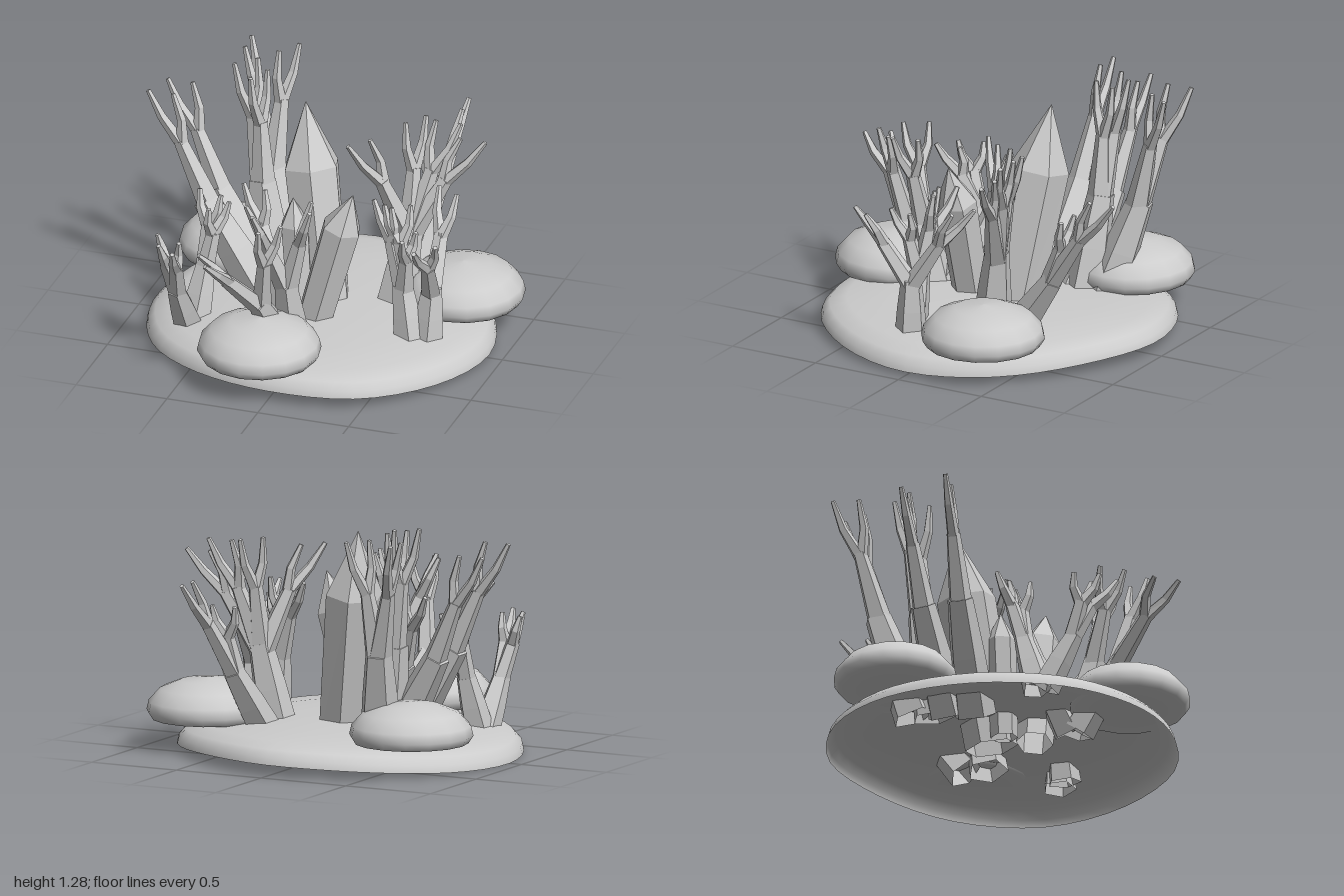
import * as THREE from 'three';

const stone = new THREE.MeshStandardMaterial({ color: 0xcccccc });
stone.name = 'pale grey smooth';
stone.side = THREE.DoubleSide;
const facet = stone.clone();
facet.name = 'pale grey faceted';
facet.flatShading = true;

const vec = (x, y, z) => new THREE.Vector3(x, y, z);

// Skin a stack of closed rings with equal point counts
function skin(rings) {
  const n = rings[0].length, idx = [];
  for (let j = 0; j < rings.length - 1; j++) {
    for (let i = 0; i < n; i++) {
      const a = j * n + i, b = j * n + ((i + 1) % n);
      idx.push(a, b, b + n, a, b + n, a + n);
    }
  }
  const g = new THREE.BufferGeometry().setFromPoints(rings.flat());
  g.setIndex(idx);
  g.computeVertexNormals();
  return g;
}

// Tapered faceted limb through points, closed at the end
function limb(points, radii, sides = 5) {
  const last = points.length - 1;
  const rings = points.map((p, i) => {
    const t = points[Math.min(i + 1, last)].clone().sub(points[Math.max(i - 1, 0)]).normalize();
    const u = vec(0, 0, 1).addScaledVector(t, -t.z).normalize();
    const v = t.clone().cross(u);
    return Array.from({ length: sides }, (_, s) => {
      const a = (s / sides) * Math.PI * 2 + 0.3;
      return p.clone().addScaledVector(u, Math.cos(a) * radii[i]).addScaledVector(v, Math.sin(a) * radii[i]);
    });
  });
  rings.push(rings[last].map(() => points[last]));
  return skin(rings);
}

function add(parent, name, geometry, material) {
  const m = new THREE.Mesh(geometry, material);
  m.name = name;
  parent.add(m);
  return m;
}

// Trunk that forks at a knee; each crown [x, y, z, spread angle] gets an arm and two fingers
function coral(parent, x, z, ...crowns) {
  const g = new THREE.Group();
  g.name = 'coral';
  parent.add(g);
  const base = vec(x, 0.09, z);
  const centre = vec(0, 0, 0);
  crowns.forEach(([cx, cy, cz]) => centre.add(vec(cx, cy, cz).divideScalar(crowns.length)));
  const knee = base.clone().lerp(centre, 0.57);
  knee.y -= 0.09 * (centre.y - base.y);
  const r = 0.035 + 0.068 * centre.y;
  const middle = base.clone().lerp(knee, 0.5);
  add(g, 'trunk', limb([base, middle, knee], [r, r * 0.85, r * 0.62]), facet);

  for (const [cx, cy, cz, angle] of crowns) {
    const crown = vec(cx, cy, cz);
    const elbow = knee.clone().lerp(crown, 0.56);
    add(g, 'arm', limb([knee.clone().lerp(base, 0.12), elbow], [r * 0.6, 0.038]), facet);
    for (const side of [-1, 1]) {
      const spread = vec(Math.cos(angle), side * 0.2, Math.sin(angle)).multiplyScalar(0.068 * side);
      const tip = crown.clone().add(spread);
      const bend = elbow.clone().lerp(crown, 0.45).addScaledVector(spread, 0.8);
      add(g, 'finger', limb([elbow.clone().lerp(knee, 0.08), bend, tip], [0.035, 0.025, 0.013]), facet);
    }
  }
}

export function createModel() {
  const model = new THREE.Group();
  model.name = 'coralReef';

  // Ground: wavy domed shell, open below; radii run from +x round the back
  const radii = [0.93, 0.91, 0.9, 0.95, 0.95, 0.95, 0.93, 0.89, 0.85, 0.86, 0.91, 0.91];
  const outline = radii.map((r, i) => {
    const a = (i / radii.length) * Math.PI * 2;
    return vec(r * Math.cos(a), 0, -r * Math.sin(a));
  });
  const rim = new THREE.CatmullRomCurve3(outline, true).getPoints(48).slice(0, 48);
  const levels = [[1, 0.036], [0.99, 0.075], [0.95, 0.113], [0.85, 0.145], [0.6, 0.168], [0.3, 0.178], [0, 0.182]];
  add(model, 'ground', skin(levels.map(([s, y]) => rim.map((p) => {
    const a = Math.atan2(p.z, p.x);
    const wave = 0.01 * Math.cos(a) - 0.025 * Math.cos(2 * a);
    return vec(p.x * s, y + wave * s * s + 0.02 * p.x * s * (1 - s), p.z * s);
  }))), stone);

  // Rounded boulders
  const profile = [[0, 0.15], [0.2, 0.15], [0.3, 0.16], [0.325, 0.2], [0.313, 0.25], [0.255, 0.315], [0.15, 0.358], [0, 0.375]]
    .map(([x, y]) => new THREE.Vector2(x, y));
  for (const [x, z] of [[-0.11, 0.66], [-0.605, -0.475], [0.675, -0.32]]) {
    add(model, 'boulder', new THREE.LatheGeometry(profile, 16), stone).position.set(x, 0, z);
  }

  // Pointed crystals: foot, shoulder, tip
  const crystal = (r, ...points) => add(model, 'crystal',
    limb(points.map((p) => vec(...p)), [r * 0.9, r, 0.002], 6), facet);
  crystal(0.155, [0, 0.06, -0.09], [-0.12, 0.86, -0.2], [-0.165, 1.2, -0.24]);
  crystal(0.108, [-0.01, 0.06, 0.14], [0.165, 0.7, 0.14], [0.23, 0.9, 0.15]);
  crystal(0.08, [-0.11, 0.06, 0], [-0.145, 0.6, -0.01], [-0.155, 0.75, -0.01]);

  // Back left corals
  coral(model, -0.36, -0.32, [-0.565, 1.26, -0.45, -0.8], [-0.47, 1.23, -0.38, -1.2]);
  coral(model, -0.39, -0.42, [-0.425, 1.23, -0.73, -1], [-0.65, 1.23, -0.73, 1.5]);
  coral(model, -0.34, -0.11, [-0.925, 1.17, -0.13, 0]);
  coral(model, -0.37, -0.25, [-0.9, 1.13, -0.37, 0]);
  // Front left corals
  coral(model, -0.6, 0.28, [-0.575, 0.75, 0.09, 0.3], [-0.5, 0.72, 0.17, -1]);
  coral(model, -0.61, 0.32, [-0.7, 0.67, 0.56, 1.2], [-0.58, 0.67, 0.63, 1.5]);
  // Front centre corals
  coral(model, -0.04, 0.33, [-0.34, 0.81, 0.07, 0.3]);
  coral(model, -0.02, 0.36, [0.11, 0.95, 0.48, 1.3], [-0.19, 0.93, 0.59, 1]);
  coral(model, -0.05, 0.38, [-0.34, 0.77, 0.91, 1], [-0.04, 0.9, 0.7, -0.9]);
  // Front right corals
  coral(model, 0.56, 0.18, [0.37, 0.83, 0.08, 0.5], [0.455, 0.84, 0.09, -0.3], [0.57, 0.74, 0.24, 1.8]);
  coral(model, 0.63, 0.14, [0.64, 0.83, -0.18, 0.5], [0.71, 0.76, 0.4, 2.2]);
  // Back right corals
  coral(model, 0.34, -0.3, [0.48, 0.96, -0.92, 1.5], [0.4, 0.81, -0.67, 0]);
  coral(model, 0.34, -0.18, [0.4, 1.12, -0.36, -1], [0.565, 1.11, -0.4, 0],
    [0.71, 1.04, -0.37, 0], [0.18, 1.07, -0.09, -0.9]);

  return model;
}
